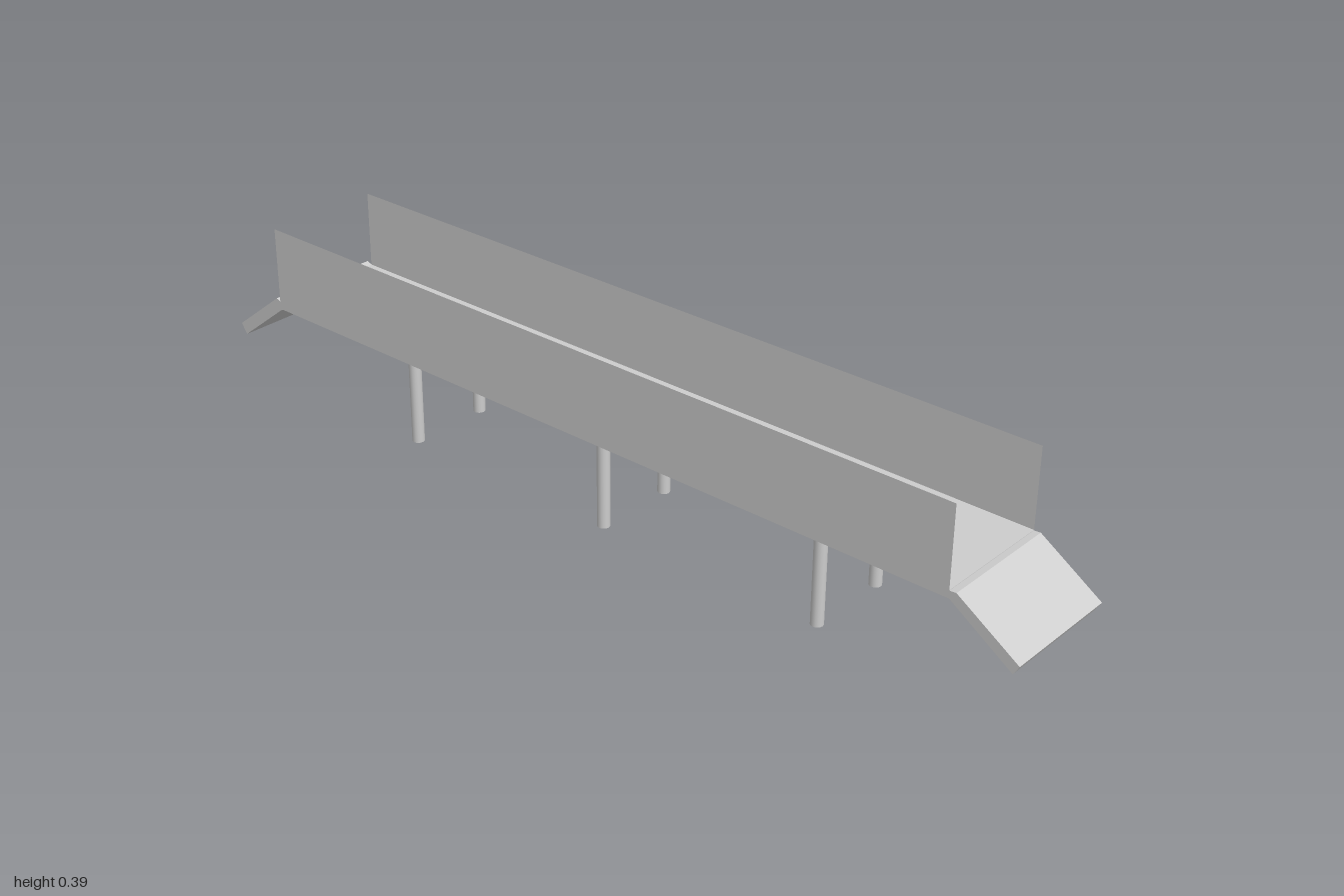
import * as THREE from 'three';

export function createModel() {
  const model = new THREE.Group();
  const grey = new THREE.MeshStandardMaterial({ color: 0xcccccc, side: THREE.DoubleSide });
  grey.name = 'plainGrey';

  const HALF_WIDTH = 0.131;
  const LEFT_END = 0.853, RIGHT_END = -0.86;
  const LENGTH = LEFT_END - RIGHT_END, MIDDLE = (LEFT_END + RIGHT_END) / 2;
  const UNDERSIDE = 0.202, DECK_TOP = 0.2185, WALL_TOP = 0.387;

  function add(name, geometry, x = 0, y = 0, z = 0) {
    const mesh = new THREE.Mesh(geometry, grey);
    mesh.name = name;
    mesh.position.set(x, y, z);
    model.add(mesh);
  }

  // Side profile extruded across the full width
  function addSlab(name, points) {
    const shape = new THREE.Shape(points.map(([x, y]) => new THREE.Vector2(x, y)));
    const geometry = new THREE.ExtrudeGeometry(shape, { depth: HALF_WIDTH * 2, bevelEnabled: false });
    add(name, geometry, 0, 0, -HALF_WIDTH);
  }

  // Flat deck
  addSlab('deck', [
    [RIGHT_END, UNDERSIDE], [LEFT_END, UNDERSIDE], [LEFT_END, DECK_TOP], [RIGHT_END, DECK_TOP],
  ]);

  // Sloping end ramps, slightly different in pitch
  addSlab('leftRamp', [[0.853, 0.202], [0.988, 0.11], [1, 0.13], [0.867, 0.2185], [0.853, 0.2175]]);
  addSlab('rightRamp', [[-0.858, 0.2], [-0.985, 0.102], [-1, 0.124], [-0.872, 0.223], [-0.858, 0.2185]]);

  // Sheet side walls, with no thickness
  const wallHeight = WALL_TOP - UNDERSIDE;
  for (const side of [1, -1]) {
    const wall = new THREE.PlaneGeometry(LENGTH, wallHeight);
    if (side < 0) wall.rotateY(Math.PI);
    add(side > 0 ? 'frontWall' : 'backWall', wall, MIDDLE, UNDERSIDE + wallHeight / 2, side * (HALF_WIDTH + 0.0005));
  }

  // Three pairs of posts
  const post = new THREE.CylinderGeometry(0.0132, 0.0132, UNDERSIDE, 16);
  for (const x of [-0.49, 0.033, 0.555]) {
    for (const z of [0.09, -0.09]) add('supportPost', post, x, UNDERSIDE / 2, z);
  }

  return model;
}
